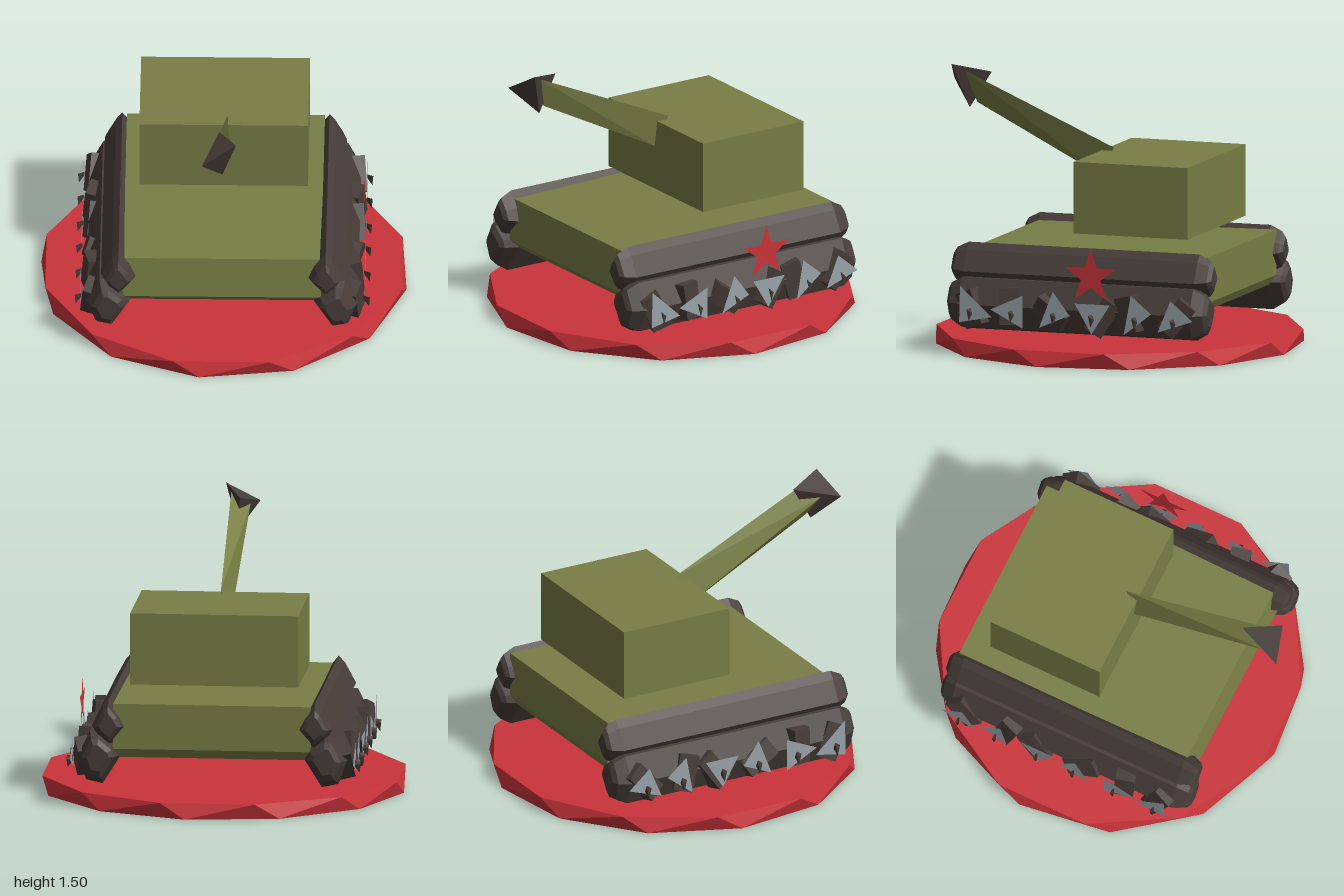
import * as THREE from 'three';
import { ConvexGeometry } from 'three/addons/geometries/ConvexGeometry.js';

const mat = (name, color) => Object.assign(new THREE.MeshStandardMaterial({ color }), { name });
const V = (x, y, z) => new THREE.Vector3(x, y, z);

export function createModel() {
  const olive = mat('olive', 0x787e45);
  const red = mat('red', 0xcb343a);
  const brown = mat('dark brown', 0x473d39);
  const steel = mat('steel', 0x9aa4aa);
  red.side = steel.side = THREE.DoubleSide;

  const group = new THREE.Group();
  const add = (name, geometry, material, parent = group) => {
    const mesh = new THREE.Mesh(geometry, material);
    mesh.name = name;
    parent.add(mesh);
    return mesh;
  };
  // Faceted solid around a few corner points
  const solid = (name, points, material, parent) =>
    add(name, new ConvexGeometry(points.map((p) => V(...p))), material, parent);

  // Round base: two twelve-sided rings, slightly twisted
  const ring = (y, turn) => Array.from({ length: 12 }, (_, i) => {
    const a = (i + 0.5) * Math.PI / 6 + turn;
    return [Math.cos(a) * 1.005, y, Math.sin(a) * 1.005 - 0.01];
  });
  solid('base', [...ring(0, -0.14), ...ring(0.085, 0)], red);

  // Hull: side profile swept across the width
  const profile = [[0.58, -0.72], [0.56, 0.66], [0.33, 0.69], [0.28, 0.64], [0.28, -0.69], [0.33, -0.72]];
  solid('hull', [-0.54, 0.54].flatMap((x) => profile.map(([y, z]) => [x, y, z])), olive);

  // Turret, floating just above the hull
  add('turret', new THREE.BoxGeometry(0.92, 0.395, 0.66), olive).position.set(0, 0.8575, -0.24);

  // Three-sided barrel and pointed muzzle
  solid('barrel', [
    [0.02, 1.075, 0.02], [-0.03, 0.92, 0.085], [-0.01, 0.905, 0.09],
    [0.045, 1.46, 0.88], [-0.06, 1.39, 0.89], [-0.005, 1.28, 0.82],
  ], olive);
  solid('muzzle', [[-0.105, 1.39, 0.99], [0.08, 1.495, 0.94], [0.005, 1.25, 0.86], [-0.015, 1.45, 0.74]], brown);

  // Track bars: cross-sections that shrink at both ends
  const upper = [[0.565, 0.6], [0.6, 0.56], [0.66, 0.45], [0.63, 0.4], [0.56, 0.34], [0.465, 0.45], [0.5, 0.52]];
  const lower = [[0.62, 0.42], [0.67, 0.42], [0.74, 0.28], [0.69, 0.15], [0.6, 0.13], [0.5, 0.29], [0.52, 0.34]];
  const stations = [[-0.765, 0.5], [-0.745, 0.75], [-0.68, 1], [0.66, 1], [0.725, 0.75], [0.745, 0.5]];
  const bar = (section, side) => {
    const cx = section.reduce((t, p) => t + p[0], 0) / section.length;
    const cy = section.reduce((t, p) => t + p[1], 0) / section.length;
    return stations.flatMap(([z, k]) =>
      section.map(([x, y]) => [side * (cx + (x - cx) * k), cy + (y - cy) * k, z]));
  };

  // Steel teeth as [z, y] corners
  const teeth = [
    [[0.635, 0.39], [0.453, 0.224], [0.64, 0.187]],
    [[0.459, 0.267], [0.272, 0.352], [0.272, 0.17]],
    [[0.096, 0.384], [0, 0.256], [0.176, 0.18]],
    [[-0.03, 0.325], [-0.235, 0.325], [-0.128, 0.16]],
    [[-0.357, 0.384], [-0.475, 0.288], [-0.315, 0.165]],
    [[-0.587, 0.368], [-0.715, 0.26], [-0.512, 0.19]],
  ];
  // Chunks behind the teeth: z, y, tilt
  const chunks = [[0.58, 0.26, 0.4], [0.37, 0.28, 0.05], [0.12, 0.26, 1.0],
    [-0.17, 0.25, -0.6], [-0.33, 0.27, 0.25], [-0.6, 0.27, -0.7]];

  for (const side of [1, -1]) {
    const track = new THREE.Group();
    track.name = side > 0 ? 'leftTrack' : 'rightTrack';
    group.add(track);
    solid('upperTrackBar', bar(upper, side), brown, track);
    solid('lowerTrackBar', bar(lower, side), brown, track);

    chunks.forEach(([z, y, tilt], i) => {
      const chunk = add('trackChunk', new THREE.BoxGeometry(0.1, 0.2, 0.11), brown, track);
      chunk.position.set(side * 0.705, y, z);
      chunk.rotation.set(tilt, (i % 2 ? 0.25 : -0.3), side * 0.08);
    });

    teeth.forEach((t) => {
      const shape = new THREE.Shape(t.map(([z, y]) => new THREE.Vector2(-z, y)));
      const tooth = add('tooth', new THREE.ShapeGeometry(shape), steel, track);
      tooth.rotation.y = Math.PI / 2;
      tooth.position.x = side * 0.775;
      // Small dark spike through each tooth
      const z = (t[0][0] + t[1][0] + t[2][0]) / 3;
      solid('spike', [[side * 0.77, 0.27, z], [side * 0.805, 0.265, z + 0.012], [side * 0.8, 0.2, z],
        [side * 0.77, 0.24, z - 0.012], [side * 0.805, 0.25, z - 0.012]], brown, track);
    });
  }

  // Five-pointed star on the left side
  const star = new THREE.Shape(Array.from({ length: 10 }, (_, i) => {
    const a = Math.PI / 2 + i * Math.PI / 5, r = i % 2 ? 0.06 : 0.155;
    return new THREE.Vector2(Math.cos(a) * r, Math.sin(a) * r);
  }));
  const starMesh = add('star', new THREE.ShapeGeometry(star), red);
  starMesh.position.set(0.765, 0.475, -0.12);
  starMesh.rotation.y = Math.PI / 2;

  return group;
}
